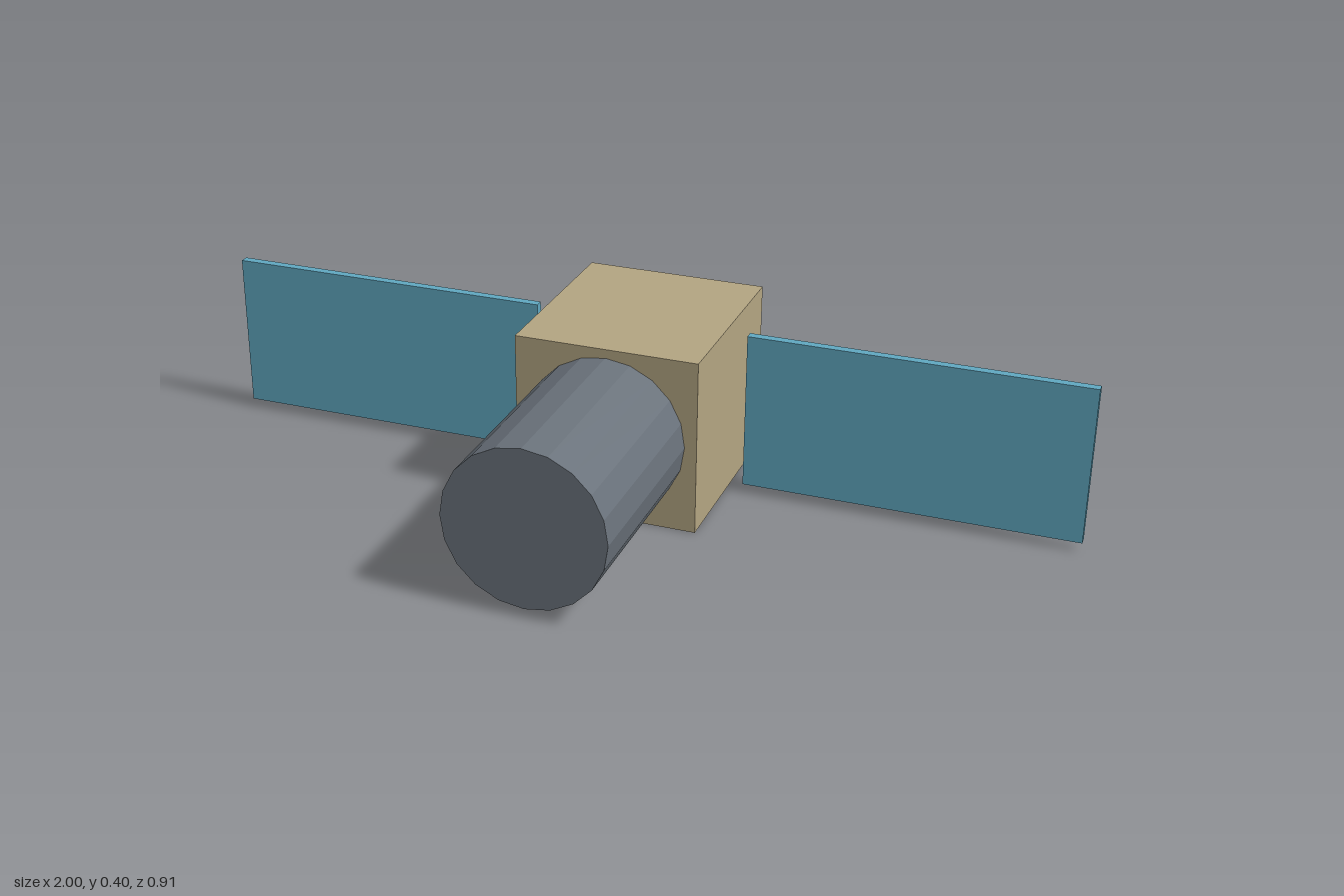
import * as THREE from 'three';

export function createModel() {
  const model = new THREE.Group();
  model.name = 'satellite';

  const material = (name, color) => {
    const m = new THREE.MeshStandardMaterial({ color, flatShading: true });
    m.name = name;
    return m;
  };
  const tan = material('tan', 0xb3a582);
  const grey = material('slateGrey', 0x6a727b);
  const blue = material('panelBlue', 0x60a8c1);

  const add = (name, geometry, mat, x, y, z) => {
    const mesh = new THREE.Mesh(geometry, mat);
    mesh.name = name;
    mesh.position.set(x, y, z);
    model.add(mesh);
    return mesh;
  };

  // Box-shaped equipment body at the back
  add('body', new THREE.BoxGeometry(0.414, 0.4, 0.453), tan, 0, 0.2, -0.2265);

  // Faceted barrel pointing forward
  const barrel = new THREE.CylinderGeometry(0.18, 0.18, 0.453, 20).rotateX(Math.PI / 2);
  add('barrel', barrel, grey, 0, 0.2, 0.2265);

  // Detached solar panels, one on each side
  const panel = new THREE.BoxGeometry(0.754, 0.36, 0.02);
  for (const side of [-1, 1]) {
    add(side > 0 ? 'leftSolarPanel' : 'rightSolarPanel', panel, blue, side * 0.623, 0.2, -0.2265);
  }

  return model;
}
